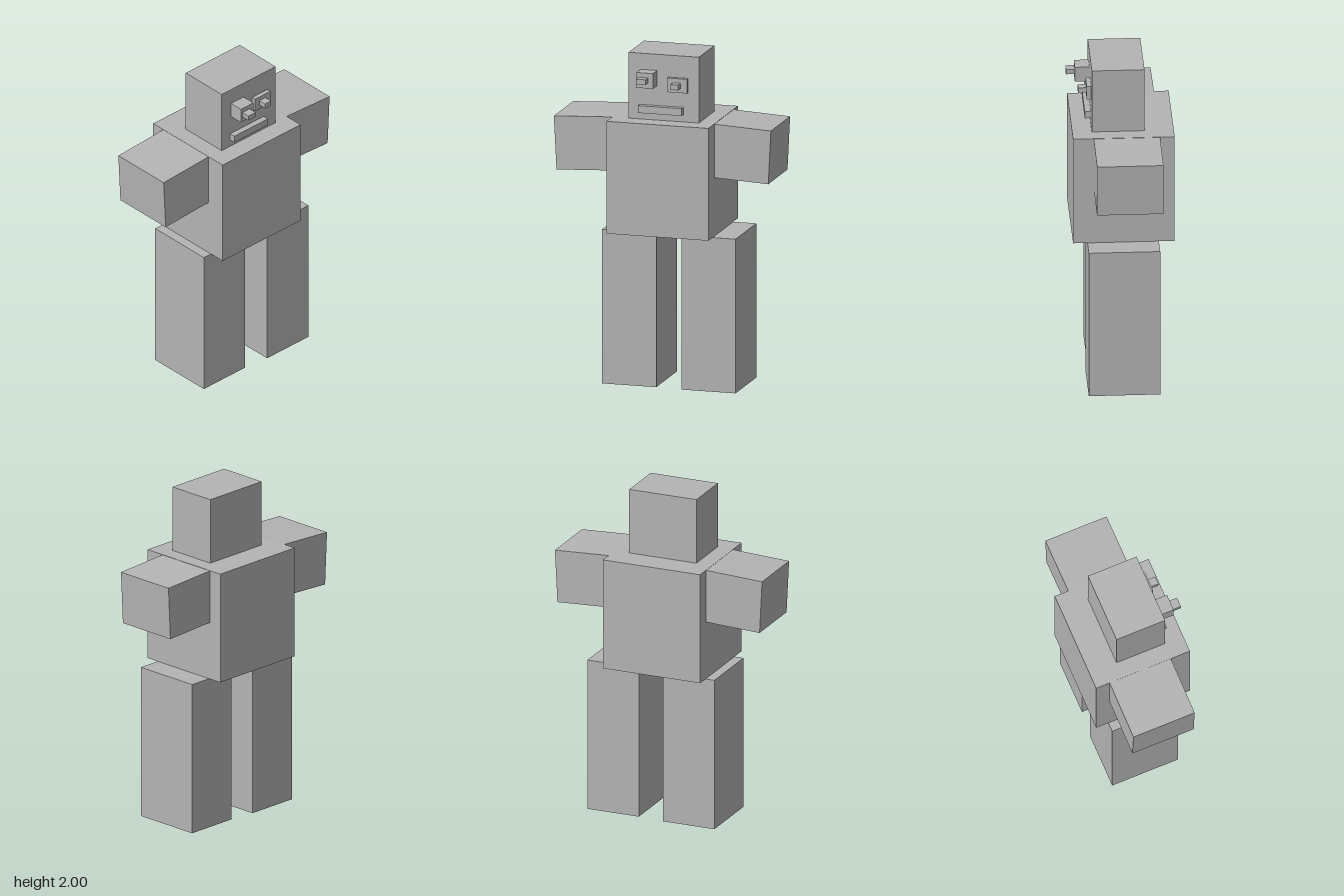
import * as THREE from 'three';

export function createModel() {
  const model = new THREE.Group();
  const grey = new THREE.MeshStandardMaterial({ color: 0xb4b4b4 });
  grey.name = 'grey';

  // box given by its lower and upper corner on each axis
  function block(name, [x0, x1], [y0, y1], [z0, z1]) {
    const mesh = new THREE.Mesh(new THREE.BoxGeometry(x1 - x0, y1 - y0, z1 - z0), grey);
    mesh.position.set((x0 + x1) / 2, (y0 + y1) / 2, (z0 + z1) / 2);
    mesh.name = name;
    model.add(mesh);
    return mesh;
  }

  // body and head
  block('torso', [-0.31, 0.286], [0.928, 1.604], [-0.318, 0.305]);
  block('head', [-0.138, 0.171], [1.604, 2], [-0.226, 0.205]);

  // legs, slightly offset from each other
  block('leftLeg', [-0.232, 0.186], [0, 0.928], [0.031, 0.362]);
  block('rightLeg', [-0.217, 0.202], [0, 0.928], [-0.459, -0.129]);

  // short arms drooping a little outwards
  for (const side of [1, -1]) {
    const arm = block(side > 0 ? 'leftArm' : 'rightArm',
      [-0.224, 0.165], [1.272, 1.594], [side * 0.476 - 0.18, side * 0.476 + 0.18]);
    arm.rotation.x = side * 0.05;
  }

  // face on the +x side: uneven eyes and a bar mouth
  block('upperEye', [0.171, 0.256], [1.811, 1.903], [0.03, 0.131]);
  block('upperPupil', [0.256, 0.307], [1.845, 1.875], [0.06, 0.119]);
  block('lowerEye', [0.171, 0.197], [1.783, 1.868], [-0.16, -0.039]);
  block('lowerPupil', [0.197, 0.246], [1.81, 1.842], [-0.121, -0.073]);
  block('mouth', [0.171, 0.207], [1.648, 1.692], [-0.131, 0.137]);

  return model;
}
